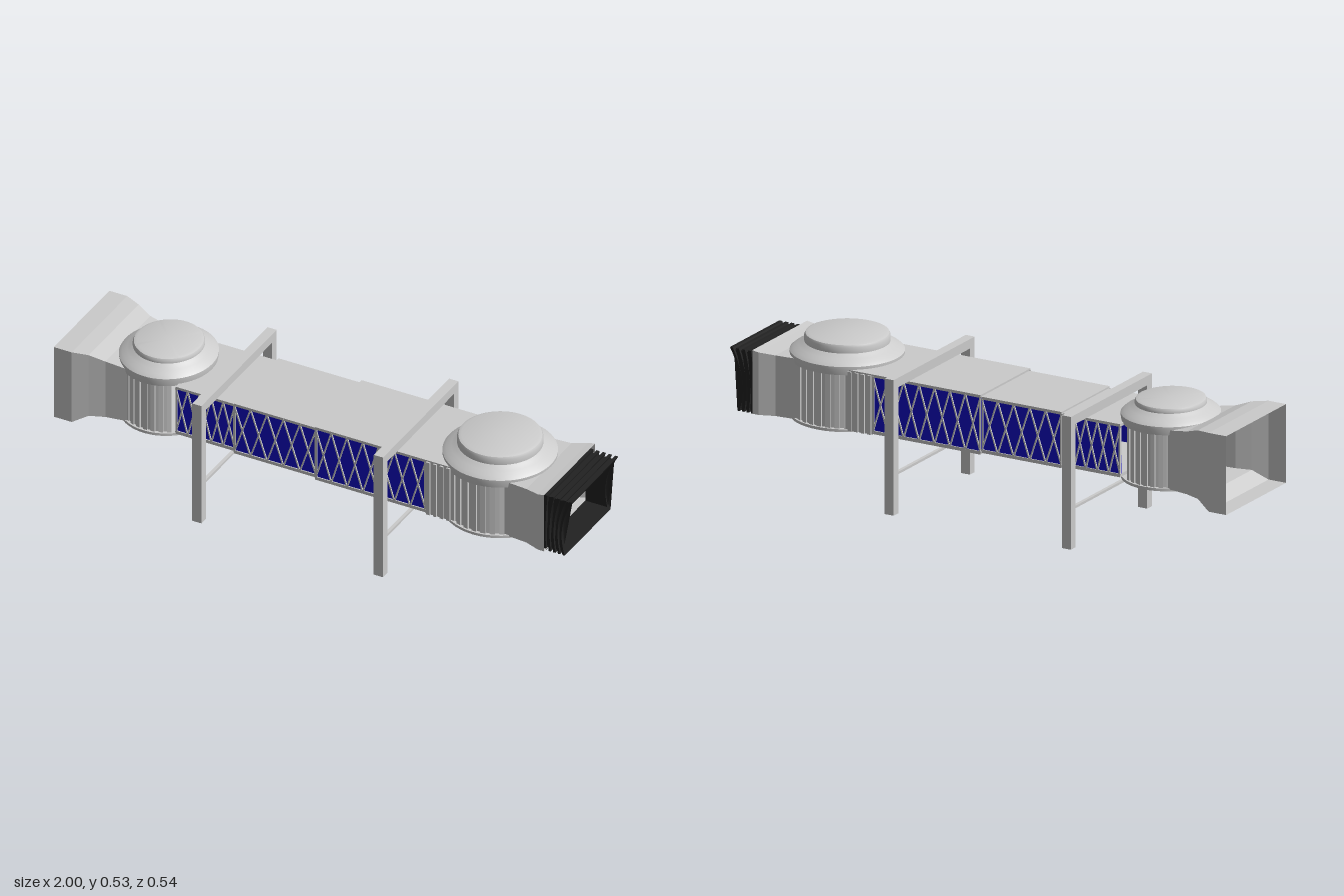
import * as THREE from 'three';
import { toCreasedNormals } from 'three/addons/utils/BufferGeometryUtils.js';

const grey = new THREE.MeshStandardMaterial({ color: 0xcccccc });
const greyShell = new THREE.MeshStandardMaterial({ color: 0xcccccc, side: THREE.DoubleSide });
const blue = new THREE.MeshStandardMaterial({ color: 0x1008cc });
const black = new THREE.MeshStandardMaterial({ color: 0x222222 });

function add(parent, name, geometry, material = grey) {
  const mesh = new THREE.Mesh(geometry, material);
  mesh.name = name;
  parent.add(mesh);
  return mesh;
}

// Box given by its limits on each axis
function block(parent, name, x0, x1, y0, y1, z0, z1, material) {
  const mesh = add(parent, name, new THREE.BoxGeometry(x1 - x0, y1 - y0, z1 - z0), material);
  mesh.position.set((x0 + x1) / 2, (y0 + y1) / 2, (z0 + z1) / 2);
  return mesh;
}

function group(parent, name) {
  const g = new THREE.Group();
  g.name = name;
  parent.add(g);
  return g;
}

// Open rectangular duct through sections [x, halfWidth, bottom, top]
function duct(parent, name, sections) {
  const pos = [];
  const ring = ([x, w, b, t]) => [[x, b, w], [x, t, w], [x, t, -w], [x, b, -w]];
  for (let i = 0; i < sections.length - 1; i++) {
    const a = ring(sections[i]), c = ring(sections[i + 1]);
    for (let k = 0; k < 4; k++) {
      const n = (k + 1) % 4;
      for (const p of [a[k], c[k], c[n], a[k], c[n], a[n]]) pos.push(...p);
    }
  }
  const geo = new THREE.BufferGeometry();
  geo.setAttribute('position', new THREE.Float32BufferAttribute(pos, 3));
  geo.computeVertexNormals();
  return add(parent, name, geo, greyShell);
}

// Hollow passage section with glazed sides and crossed bracing
function tunnel(parent, name, x0, x1, y0, y1, w, cells) {
  const g = group(parent, name);
  block(g, 'roof', x0, x1, y1 - 0.01, y1, -w, w);
  block(g, 'floor', x0, x1, y0, y0 + 0.012, -w, w);
  const h = y1 - y0 - 0.012, step = (x1 - x0) / cells;
  const length = Math.hypot(step, h), angle = Math.atan2(h, step);
  for (const s of [-1, 1]) {
    const zo = s * w, zi = s * (w - 0.008);
    block(g, 'sidePanel', x0, x1, y0 + 0.006, y1 - 0.006, Math.min(zi, zo - s * 0.004), Math.max(zi, zo - s * 0.004), blue);
    for (const x of [x0, x1 - 0.006])
      block(g, 'endPost', x, x + 0.006, y0, y1, Math.min(zi, zo), Math.max(zi, zo));
    for (let i = 0; i < cells; i++)
      for (const dir of [-1, 1]) {
        const bar = add(g, 'brace', new THREE.BoxGeometry(length, 0.005, 0.005));
        bar.position.set(x0 + (i + 0.5) * step, (y0 + y1) / 2, s * (w - 0.002));
        bar.rotation.z = dir * angle;
      }
  }
}

// Round cabin: floor disc, ribbed side walls, domed roof with a raised cap
function rotunda(parent, name, x, r, scaleX, y0, rimY, topY, capR) {
  const g = group(parent, name);
  g.position.x = x;
  g.scale.x = scaleX;
  const disc = add(g, 'floorDisc', new THREE.CylinderGeometry(r, r, 0.01, 48));
  disc.position.y = y0 + 0.005;

  const dome = [
    [0, rimY - 0.008], [r - 0.012, rimY - 0.008], [r - 0.012, rimY - 0.03], [r - 0.003, rimY - 0.03],
    [r, rimY - 0.01], [r, rimY], [r - 0.012, rimY + 0.01], [r - 0.03, rimY + 0.019],
    [capR + 0.008, rimY + 0.027], [capR, rimY + 0.032], [capR, topY - 0.012],
    [capR - 0.004, topY - 0.004], [capR - 0.015, topY], [0, topY],
  ].map(p => new THREE.Vector2(...p));
  add(g, 'domedRoof', toCreasedNormals(new THREE.LatheGeometry(dome, 64), 0.7));

  // Ribbed walls on both sides, leaving the passage open
  const count = 13, from = 1.0, span = Math.PI - 2 * from;
  const h = rimY - y0 - 0.01, wr = r - 0.012;
  for (const s of [-1, 1])
    for (let i = 0; i < count; i++) {
      const a = from + span * (i + 0.5) / count;
      const rr = wr - (i % 2 ? 0.006 : 0);
      const slat = add(g, 'wallSlat', new THREE.BoxGeometry(wr * span / count * 1.12, h, 0.01));
      slat.position.set(rr * Math.cos(a), y0 + 0.005 + h / 2, s * rr * Math.sin(a));
      slat.rotation.y = s * (Math.PI / 2 - a);
    }
}

// Support portal straddling the passage
function portal(parent, name, x, top) {
  const g = group(parent, name);
  const w = 0.018;
  for (const s of [-1, 1])
    block(g, 'leg', x - w, x + w, 0, top, s * 0.255 - 0.016, s * 0.255 + 0.016);
  block(g, 'topBeam', x - w, x + w, top - 0.034, top, -0.24, 0.24);
  block(g, 'tieBar', x - 0.006, x + 0.006, 0.133, 0.142, -0.24, 0.24);
}

// Rectangle outline with extra points down its sides, so that it can bend
function outline(Type, w, y0, y1) {
  const pts = [], n = 10;
  for (let i = 0; i <= n; i++) pts.push(new THREE.Vector2(w, y0 + (y1 - y0) * i / n));
  for (let i = n; i >= 0; i--) pts.push(new THREE.Vector2(-w, y0 + (y1 - y0) * i / n));
  return new Type(pts);
}

// Folding seal: rectangular frames bent to a concave end
function bellows(parent) {
  const g = group(parent, 'bellows');
  const start = 0.88, len = 0.125;
  const frame = (name, d0, d1, grow) => {
    const shape = outline(THREE.Shape, 0.156 + grow, 0.239 - grow, 0.446 + grow);
    shape.holes.push(outline(THREE.Path, 0.15, 0.246, 0.441));
    const geo = new THREE.ExtrudeGeometry(shape, { depth: d1 - d0, bevelEnabled: false });
    geo.rotateY(Math.PI / 2).translate(start + d0, 0, 0);
    const p = geo.attributes.position;
    for (let i = 0; i < p.count; i++) {
      const u = (p.getY(i) - 0.3425) / 0.1125;
      p.setX(i, start + (p.getX(i) - start) * (0.64 + 0.12 * u + 0.2 * u * u));
    }
    geo.computeVertexNormals();
    add(g, name, geo, black);
  };
  frame('sleeve', 0, len - 0.004, 0);
  for (let i = 0; i < 5; i++) {
    const d = len - 0.012 - i * 0.025;
    frame('fold', d, d + 0.012, 0.009);
  }
}

export function createModel() {
  const model = new THREE.Group();
  model.name = 'boardingBridge';

  // Telescoping passage
  tunnel(model, 'innerTunnel', -0.55, -0.32, 0.25, 0.442, 0.155, 5);
  tunnel(model, 'middleTunnel', -0.32, 0, 0.245, 0.448, 0.161, 5);
  tunnel(model, 'outerTunnel', 0, 0.43, 0.24, 0.455, 0.167, 7);

  rotunda(model, 'leftRotunda', 0.63, 0.198, 1, 0.23, 0.465, 0.53, 0.148);
  rotunda(model, 'rightRotunda', -0.66, 0.18, 0.94, 0.233, 0.465, 0.517, 0.13);

  // Ribbed neck between the passage and the larger rotunda
  duct(model, 'neck', [[0.43, 0.167, 0.237, 0.455], [0.54, 0.167, 0.237, 0.455]]);
  for (const s of [-1, 1])
    for (let i = 0; i < 4; i++)
      block(model, 'neckRib', 0.435 + i * 0.026, 0.448 + i * 0.026, 0.237, 0.45, s * 0.169 - 0.004, s * 0.169 + 0.004);

  // Flared end hood, open at its outer end
  duct(model, 'endHood', [
    [-1, 0.2, 0.205, 0.49], [-0.93, 0.2, 0.205, 0.49], [-0.875, 0.18, 0.236, 0.484],
    [-0.82, 0.162, 0.238, 0.465], [-0.74, 0.152, 0.24, 0.452],
  ]);

  // Connector and folding seal
  duct(model, 'connector', [[0.72, 0.155, 0.236, 0.455], [0.82, 0.163, 0.236, 0.455], [0.875, 0.183, 0.236, 0.462], [0.9, 0.183, 0.236, 0.466]]);
  bellows(model);

  portal(model, 'rightPortal', -0.405, 0.48);
  portal(model, 'leftPortal', 0.302, 0.49);
  return model;
}
